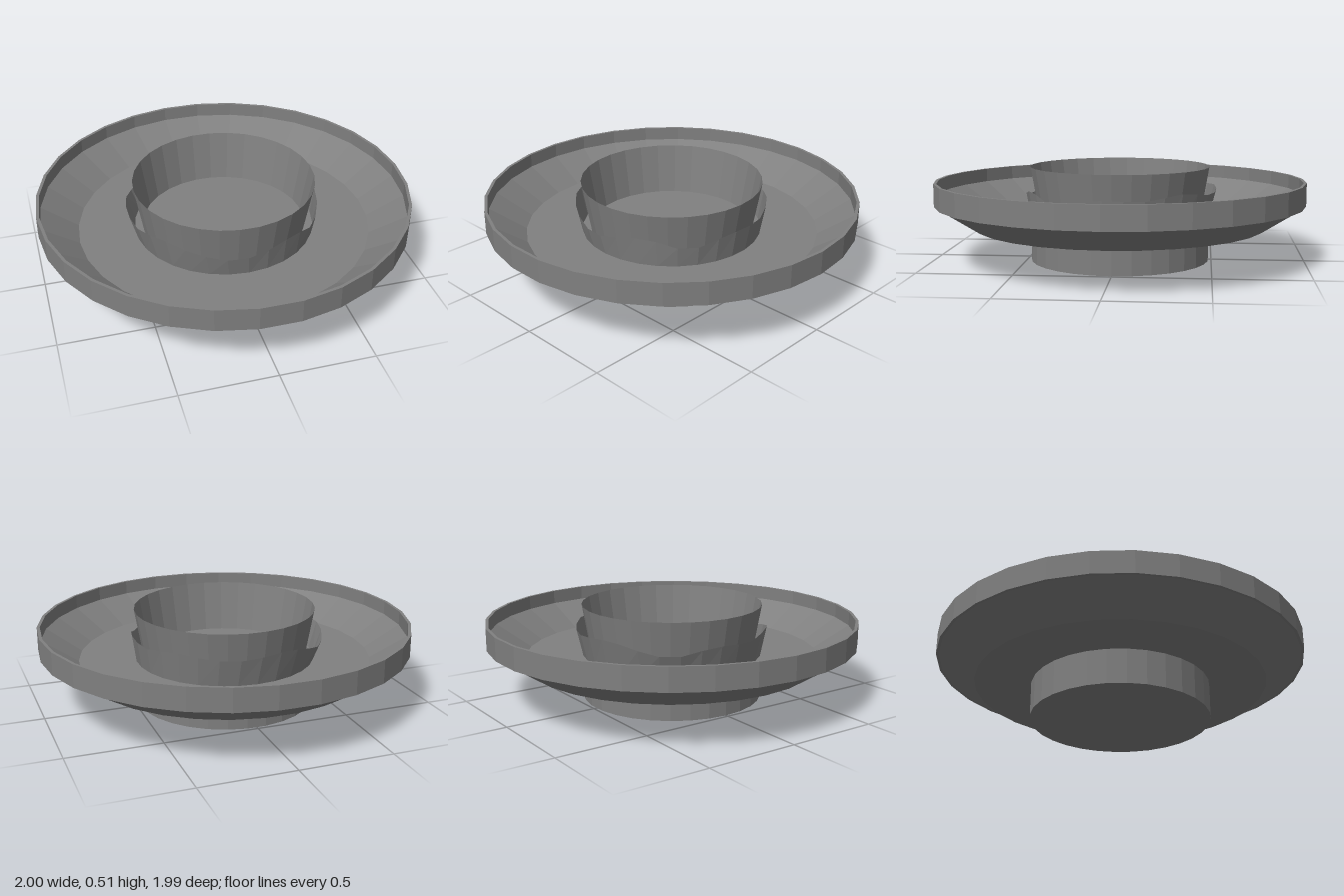
import * as THREE from 'three';

const SIDES = 30;
const material = new THREE.MeshStandardMaterial({
  color: 0x808080, flatShading: true, side: THREE.DoubleSide,
});

// Faceted turned part with a corner on the x axis; profile runs up the outside
function turned(name, profile) {
  const points = profile.map(([r, y]) => new THREE.Vector2(r, y));
  const mesh = new THREE.Mesh(new THREE.LatheGeometry(points, SIDES), material);
  mesh.rotation.y = Math.PI / 2;
  mesh.name = name;
  return mesh;
}

// Uneven rim of the collar: [angle in degrees, height], going round from +x to +z
const RIM = [
  [-36, 0.41], [-24, 0.375], [12, 0.385], [36, 0.33], [60, 0.4], [96, 0.335],
  [144, 0.415], [156, 0.375], [192, 0.385], [216, 0.335], [252, 0.405], [288, 0.375], [324, 0.41],
];

function rimHeight(degrees) {
  const a = degrees > 324 ? degrees - 360 : degrees;
  const i = Math.max(1, RIM.findIndex(([angle]) => angle >= a));
  const [a0, h0] = RIM[i - 1];
  const [a1, h1] = RIM[i];
  return THREE.MathUtils.mapLinear(a, a0, a1, h0, h1);
}

// Flared collar around the cup, slightly off centre at the top
function collar() {
  const geometry = new THREE.CylinderGeometry(1, 1, 1, SIDES, 1, true);
  const pos = geometry.attributes.position;
  for (let i = 0; i < pos.count; i++) {
    const angle = Math.atan2(pos.getX(i), -pos.getZ(i)) - Math.PI / 2;
    const degrees = (THREE.MathUtils.radToDeg(angle) + 720) % 360;
    const top = pos.getY(i) > 0;
    const r = top ? 0.517 : 0.485;
    pos.setXYZ(
      i,
      Math.cos(angle) * r - (top ? 0.01 : 0),
      top ? rimHeight(degrees) : 0.235,
      Math.sin(angle) * r - (top ? 0.007 : 0),
    );
  }
  const mesh = new THREE.Mesh(geometry, material);
  mesh.name = 'collar';
  return mesh;
}

export function createModel() {
  const model = new THREE.Group();
  model.name = 'dish';
  model.add(
    // Foot under the dish
    turned('foot', [[0, 0], [0.485, 0], [0.485, 0.19]]),
    // Shallow dish with sloped wall and thin upright rim
    turned('plate', [
      [0, 0.188], [0.79, 0.188], [0.985, 0.313], [1, 0.313], [1, 0.435],
      [0.984, 0.435], [0.984, 0.36], [0.79, 0.237], [0, 0.237],
    ]),
    // Thin open cup standing in the middle
    turned('cup', [[0, 0.24], [0.44, 0.24], [0.487, 0.51]]),
    collar(),
  );
  return model;
}
